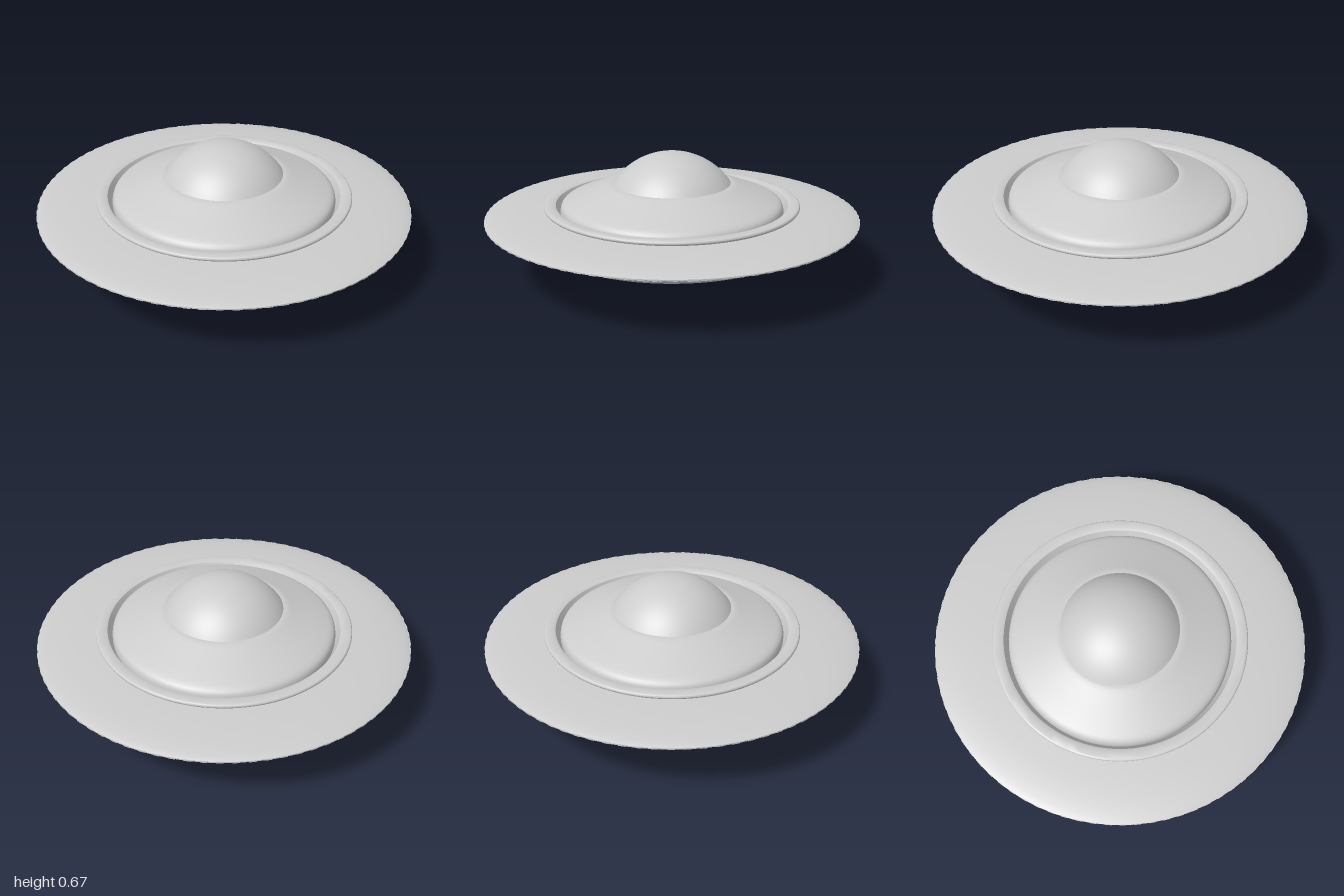
import * as THREE from 'three';
import { toCreasedNormals, mergeGeometries } from 'three/addons/utils/BufferGeometryUtils.js';

const SEG = 96;
const material = new THREE.MeshStandardMaterial({ color: 0xcccccc, side: THREE.DoubleSide });

// Points on a smooth curve through [radius, height] pairs
const smooth = (pts, n = 16) =>
  new THREE.SplineCurve(pts.map(p => new THREE.Vector2(...p))).getPoints(n).map(v => [v.x, v.y]);

// Points on an elliptical arc, angles in degrees
const arc = (cx, cy, rx, ry, from, to, n = 8) =>
  Array.from({ length: n + 1 }, (_, i) => {
    const a = THREE.MathUtils.degToRad(from + (to - from) * i / n);
    return [Math.max(0, cx + rx * Math.cos(a)), cy + ry * Math.sin(a)];
  });

export function createModel() {
  const group = new THREE.Group();

  const add = (name, geometry) => {
    const mesh = new THREE.Mesh(geometry, material);
    mesh.name = name;
    group.add(mesh);
  };

  // Profiles run from the underside outward and up to the top
  const lathe = (name, pts, seg = SEG) => add(name, toCreasedNormals(
    new THREE.LatheGeometry(pts.map(p => new THREE.Vector2(...p)), seg), 0.6));

  // Copies of one geometry spread evenly around the axis
  const radial = (name, geometry, count) => {
    const copies = Array.from({ length: count }, (_, i) =>
      geometry.clone().rotateY(i / count * Math.PI * 2));
    add(name, mergeGeometries(copies));
  };

  // Wide saucer disc with a thin rim
  lathe('disc', [
    ...smooth([[0.72, 0.283], [0.8, 0.289], [0.9, 0.303], [0.97, 0.32], [0.998, 0.331]], 10),
    ...smooth([[0.998, 0.337], [0.97, 0.347], [0.9, 0.36], [0.8, 0.371], [0.66, 0.38]], 10),
  ], 64);
  radial('rimSlots', new THREE.BoxGeometry(0.034, 0.008, 0.006).translate(0, 0.334, 0.996), 84);

  // Raised ring, sloping inward into the groove around the upper hull
  lathe('upperRing', [
    [0.655, 0.376], [0.672, 0.38],
    ...arc(0.672, 0.392, 0.013, 0.012, -70, 90),
    [0.635, 0.404], [0.622, 0.399], [0.59, 0.335],
  ]);

  // Upper hull and dome
  lathe('upperHull', [
    ...smooth([[0.597, 0.335], [0.597, 0.375], [0.58, 0.407], [0.52, 0.434], [0.43, 0.468], [0.34, 0.503]], 18),
    [0.325, 0.506], [0.3, 0.506],
  ]);
  const domeR = 0.383, domeY = 0.67 - domeR;
  lathe('dome', arc(0, domeY, domeR, domeR, 34.7, 90, 20));

  // Ribbed band below the disc
  lathe('band', [[0.72, 0.222], [0.737, 0.226], [0.743, 0.24], [0.743, 0.29]]);
  const ribShape = new THREE.Shape([
    [0.72, 0.226], [0.747, 0.228], [0.76, 0.237], [0.766, 0.252], [0.766, 0.288], [0.72, 0.29],
  ].map(p => new THREE.Vector2(...p)));
  radial('ribs', new THREE.ExtrudeGeometry(ribShape, { depth: 0.015, bevelEnabled: false })
    .translate(0, 0, -0.0075), 144);

  // Lower hull, shallow bowl
  lathe('lowerHull', [
    [0.38, 0.148],
    ...smooth([[0.44, 0.15], [0.54, 0.161], [0.64, 0.181], [0.71, 0.204], [0.735, 0.222]], 16),
    [0.735, 0.23],
  ]);
  lathe('lowerRing', [
    [0.37, 0.131], [0.455, 0.131], ...arc(0.455, 0.14, 0.011, 0.009, -90, 90), [0.4, 0.152],
  ]);

  // Drum with a recess for the fan
  lathe('drum', [
    [0, 0.125], [0.275, 0.125], [0.275, 0.086], ...arc(0.283, 0.086, 0.008, 0.006, 180, 270, 4),
    ...arc(0.345, 0.12, 0.04, 0.04, -90, 0, 8), [0.385, 0.135],
  ]);

  // Tapered, tilted fan blades
  const blade = new THREE.BoxGeometry(0.24, 0.003, 0.046);
  const pos = blade.attributes.position;
  for (let i = 0; i < pos.count; i++) if (pos.getX(i) < 0) pos.setZ(i, pos.getZ(i) * 0.2);
  blade.rotateX(0.5).translate(0.153, 0.101, 0);
  blade.computeVertexNormals();
  radial('fanBlades', blade, 36);

  // Central nose cone
  lathe('nose', smooth([
    [0, 0], [0.018, 0.006], [0.034, 0.025], [0.045, 0.052], [0.052, 0.08], [0.052, 0.1], [0.038, 0.116], [0, 0.124],
  ], 28), 48);

  return group;
}
